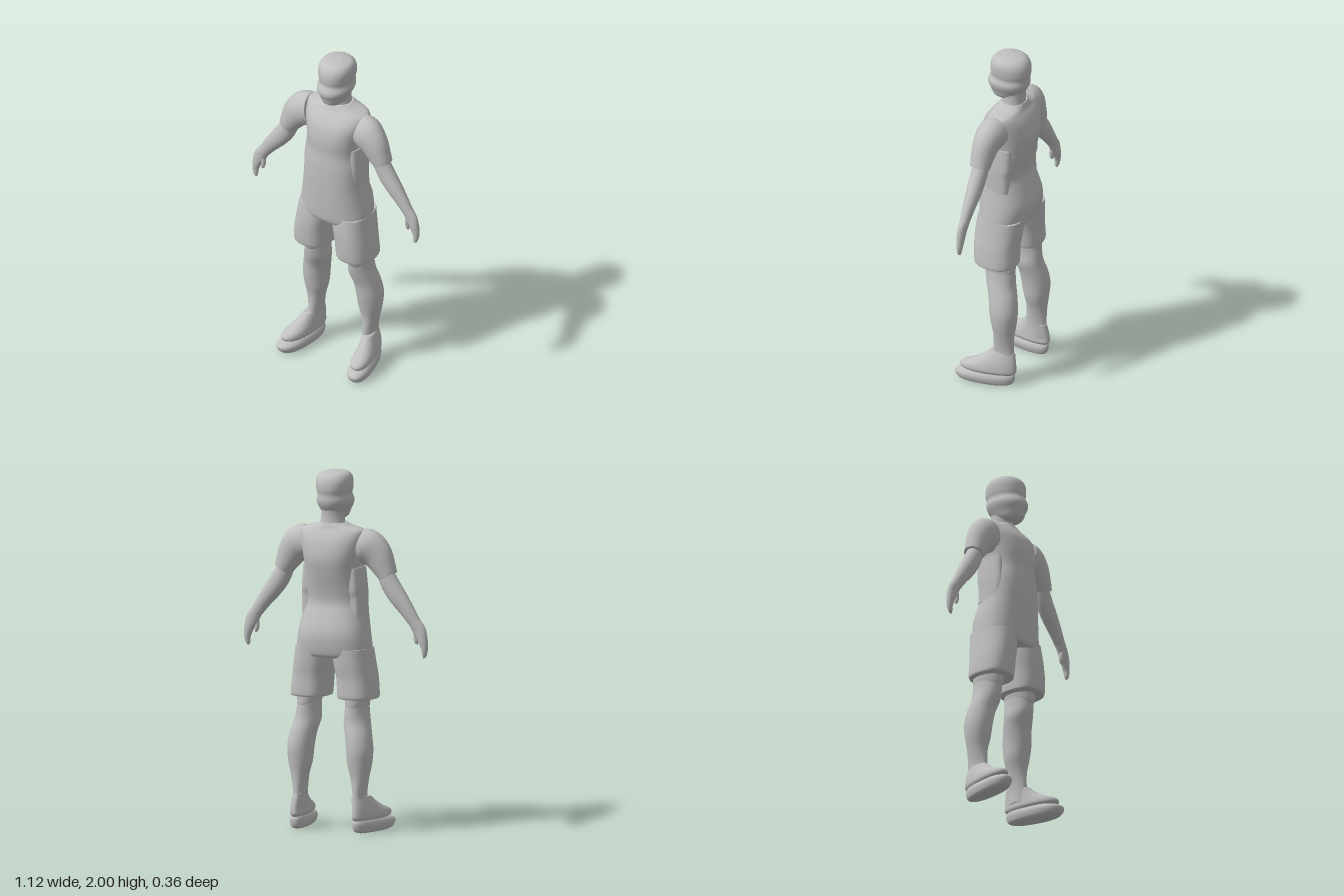
import * as THREE from 'three';

const grey = new THREE.MeshStandardMaterial({ color: 0xc0c0c0 });
grey.name = 'plain grey';

// Closed skin over sections [x, y, z, ru, rv]; rings lie flat, or follow the path when tilt is set.
function loft(name, sections, { tilt = false, power = 2, sides = 32, steps = 4, warp = null } = {}) {
  const path = new THREE.CatmullRomCurve3(sections.map(s => new THREE.Vector3(s[0], s[1], s[2])), false, 'catmullrom', 0.5);
  const size = new THREE.CatmullRomCurve3(sections.map(s => new THREE.Vector3(s[3], s[4], 0)), false, 'catmullrom', 0.5);
  const rows = (sections.length - 1) * steps;
  const pos = [], index = [];
  const round = v => Math.sign(v) * Math.pow(Math.abs(v), 2 / power);
  for (let i = 0; i <= rows; i++) {
    const t = i / rows, c = path.getPoint(t), r = size.getPoint(t);
    const d = tilt ? path.getTangent(t).setZ(0).normalize() : new THREE.Vector3(0, 1, 0);
    for (let j = 0; j < sides; j++) {
      const a = (j / sides) * Math.PI * 2;
      const u = round(Math.cos(a)) * Math.max(r.x, 0.001), v = round(Math.sin(a)) * Math.max(r.y, 0.001);
      const p = new THREE.Vector3(c.x + d.y * u, c.y - d.x * u, c.z + v);
      if (warp) warp(p);
      pos.push(p.x, p.y, p.z);
    }
  }
  for (let i = 0; i < rows; i++) for (let j = 0; j < sides; j++) {
    const k = (j + 1) % sides, a = i * sides + j, b = i * sides + k;
    index.push(a, a + sides, b, b, a + sides, b + sides);
  }
  // End caps with their own vertices, so hems stay crisp
  for (const row of [0, rows]) {
    const base = pos.length / 3, c = path.getPoint(row / rows);
    if (warp) warp(c);
    for (let j = 0; j < sides * 3; j++) pos.push(pos[row * sides * 3 + j]);
    pos.push(c.x, c.y, c.z);
    for (let j = 0; j < sides; j++) {
      const k = (j + 1) % sides;
      index.push(base + sides, base + (row ? k : j), base + (row ? j : k));
    }
  }
  const g = new THREE.BufferGeometry();
  g.setAttribute('position', new THREE.Float32BufferAttribute(pos, 3));
  g.setIndex(index);
  g.computeVertexNormals();
  const mesh = new THREE.Mesh(g, grey);
  mesh.name = name;
  return mesh;
}

// Upright section from height, centre x, half width, front z and back z
const ring = (y, x, w, front, back) => [x, y, (front + back) / 2, w, (front - back) / 2];

function makeLeg(s) {
  const leg = new THREE.Group();
  leg.name = s > 0 ? 'leftLeg' : 'rightLeg';
  leg.add(
    loft('shortsLeg', [
      ring(0.74, s * 0.142, 0.106, 0.095, -0.14), ring(0.76, s * 0.142, 0.108, 0.102, -0.146),
      ring(0.85, s * 0.135, 0.106, 0.108, -0.146), ring(0.93, s * 0.122, 0.106, 0.108, -0.155),
      ring(1.02, s * 0.11, 0.105, 0.1, -0.16),
    ], { power: 2.5 }),
    loft('kneeBand', [
      ring(0.68, s * 0.147, 0.053, 0.04, -0.125), ring(0.70, s * 0.147, 0.06, 0.05, -0.135),
      ring(0.76, s * 0.145, 0.068, 0.055, -0.135),
    ]),
    loft('calf', [
      ring(0.11, s * 0.188, 0.042, -0.015, -0.15), ring(0.2, s * 0.182, 0.034, -0.022, -0.147),
      ring(0.3, s * 0.183, 0.049, -0.028, -0.148), ring(0.38, s * 0.181, 0.068, -0.015, -0.158),
      ring(0.46, s * 0.18, 0.074, -0.002, -0.165), ring(0.54, s * 0.168, 0.074, 0.008, -0.155),
      ring(0.61, s * 0.151, 0.073, 0.03, -0.138), ring(0.67, s * 0.147, 0.064, 0.042, -0.135),
      ring(0.75, s * 0.145, 0.06, 0.045, -0.13),
    ]),
  );

  // Shoes point slightly outward and narrow at the heel
  const turn = p => {
    p.x *= 1 + p.z * 0.9;
    p.x += s * (0.213 + p.z * 0.17);
  };
  leg.add(
    loft('sole', [
      ring(0, 0, 0.04, 0.13, -0.12), ring(0.012, 0, 0.053, 0.162, -0.145),
      ring(0.04, 0, 0.06, 0.18, -0.155), ring(0.06, 0, 0.055, 0.172, -0.155),
      ring(0.075, 0, 0.044, 0.13, -0.145),
    ], { power: 2.4, warp: turn }),
    loft('shoeUpper', [
      ring(0.068, 0, 0.045, 0.125, -0.15), ring(0.085, 0, 0.056, 0.15, -0.165),
      ring(0.11, 0, 0.054, 0.143, -0.165), ring(0.14, -s * 0.003, 0.048, 0.075, -0.162),
      ring(0.17, -s * 0.008, 0.042, 0.025, -0.157), ring(0.2, -s * 0.014, 0.036, -0.008, -0.152),
    ], { power: 2.2, warp: turn }),
  );
  return leg;
}

function makeArm(s) {
  const arm = new THREE.Group();
  arm.name = s > 0 ? 'leftArm' : 'rightArm';
  const tilt = true, z = -0.013;
  arm.add(
    loft('sleeve', [
      [s * 0.165, 1.59, -0.025, 0.092, 0.08], [s * 0.205, 1.582, -0.022, 0.1, 0.083],
      [s * 0.255, 1.54, -0.015, 0.088, 0.072], [s * 0.295, 1.475, z, 0.068, 0.062],
      [s * 0.32, 1.428, z, 0.054, 0.055],
    ], { tilt }),
    loft('forearm', [
      [s * 0.295, 1.46, z, 0.045, 0.046], [s * 0.335, 1.38, z, 0.053, 0.045],
      [s * 0.385, 1.31, z, 0.051, 0.042], [s * 0.44, 1.24, z, 0.042, 0.034],
      [s * 0.49, 1.17, z, 0.034, 0.026],
    ], { tilt }),
    loft('hand', [
      [s * 0.484, 1.18, z, 0.035, 0.027], [s * 0.512, 1.135, z, 0.038, 0.023],
      [s * 0.532, 1.085, z, 0.029, 0.022], [s * 0.543, 1.035, z, 0.019, 0.017],
      [s * 0.54, 1.0, -0.01, 0.013, 0.012], [s * 0.536, 0.984, -0.01, 0.003, 0.004],
    ], { tilt, sides: 20 }),
    loft('thumb', [
      [s * 0.493, 1.135, z + 0.004, 0.016, 0.015], [s * 0.486, 1.1, z + 0.006, 0.013, 0.013],
      [s * 0.49, 1.073, z + 0.006, 0.011, 0.011], [s * 0.496, 1.057, z + 0.006, 0.003, 0.003],
    ], { tilt, sides: 14 }),
  );
  return arm;
}

export function createModel() {
  const model = new THREE.Group();
  model.name = 'standingFigure';

  // Shirt, tapering at the waist and closing over the sloping shoulders
  model.add(loft('shirt', [
    ring(0.97, 0, 0.205, 0.105, -0.155), ring(1.0, 0, 0.216, 0.116, -0.17),
    ring(1.1, 0, 0.204, 0.122, -0.18), ring(1.2, 0, 0.186, 0.125, -0.152),
    ring(1.27, 0, 0.177, 0.126, -0.13), ring(1.35, 0, 0.172, 0.124, -0.142),
    ring(1.43, 0, 0.162, 0.118, -0.163), ring(1.52, 0, 0.17, 0.12, -0.18),
    ring(1.6, 0, 0.186, 0.102, -0.17), ring(1.65, 0, 0.192, 0.07, -0.15),
    ring(1.68, 0, 0.18, 0.042, -0.13), ring(1.7, 0, 0.11, 0.03, -0.122),
    ring(1.715, 0, 0.075, 0.02, -0.116),
  ], { power: 2.35, sides: 48 }));

  // Side panels beneath the arms
  for (const s of [-1, 1]) {
    model.add(loft('sidePanel', [
      ring(1.2, s * 0.14, 0.044, 0.05, -0.1), ring(1.3, s * 0.137, 0.045, 0.06, -0.1),
      ring(1.35, s * 0.135, 0.045, 0.06, -0.11), ring(1.47, s * 0.13, 0.04, 0.05, -0.11),
    ], { power: 3, sides: 20 }));
    model.add(makeArm(s), makeLeg(s));
  }

  // Neck, then head with jaw, nose bulge, brow dip and cap
  model.add(loft('neck', [
    ring(1.66, 0, 0.085, 0.02, -0.12), ring(1.71, 0, 0.07, 0.012, -0.113),
    ring(1.76, 0, 0.066, 0.02, -0.112), ring(1.81, 0, 0.07, 0.04, -0.12),
  ]));
  model.add(loft('head', [
    ring(1.733, 0, 0.045, 0.058, -0.045), ring(1.75, 0, 0.064, 0.078, -0.085),
    ring(1.785, 0, 0.08, 0.09, -0.115), ring(1.815, 0, 0.094, 0.102, -0.132),
    ring(1.84, 0, 0.098, 0.1, -0.138), ring(1.87, 0, 0.09, 0.086, -0.138),
    ring(1.9, 0, 0.096, 0.088, -0.144), ring(1.94, 0, 0.099, 0.086, -0.142),
    ring(1.97, 0, 0.092, 0.074, -0.128), ring(1.99, 0, 0.073, 0.05, -0.1),
    ring(2.0, 0, 0.03, 0.005, -0.05),
  ], { power: 2.15, sides: 40 }));

  return model;
}
